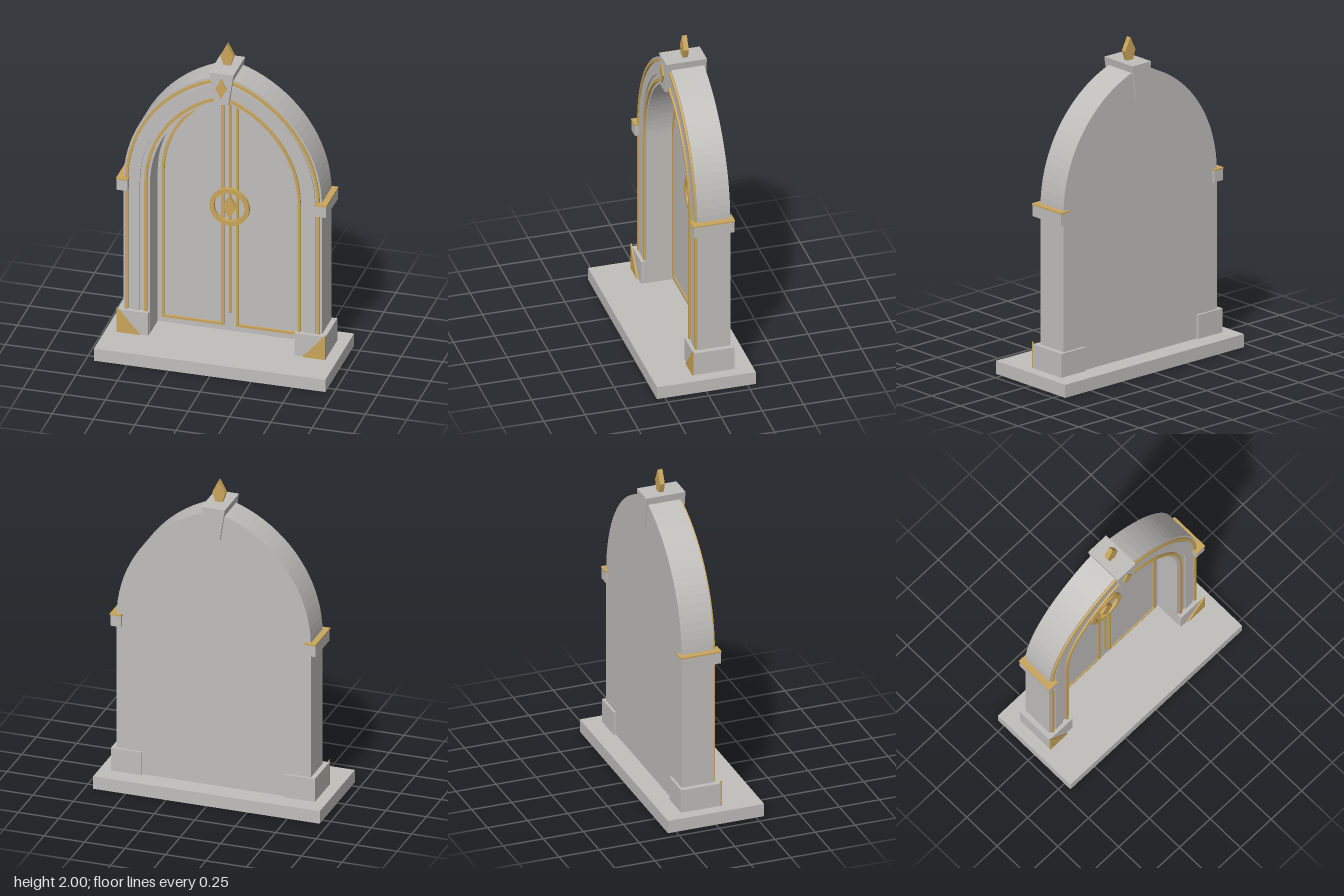
import * as THREE from 'three';

const SPRING = 1.07; // height where the straight jambs turn into the arch
const OFFSET = 0.19; // how far each arc's centre lies past the middle
const FLOOR = 0.08;  // top of the base slab

export function createModel() {
  const group = new THREE.Group();
  const stone = new THREE.MeshStandardMaterial({ color: 0xc0bebb });
  stone.name = 'stone grey';
  const gold = new THREE.MeshStandardMaterial({ color: 0xcaa55a });
  gold.name = 'gold';

  const add = (name, geometry, material) => {
    const mesh = new THREE.Mesh(geometry, material);
    mesh.name = name;
    group.add(mesh);
    return mesh;
  };
  const box = (name, x0, x1, y0, y1, z0, z1, material) =>
    add(name, new THREE.BoxGeometry(x1 - x0, y1 - y0, z1 - z0), material)
      .position.set((x0 + x1) / 2, (y0 + y1) / 2, (z0 + z1) / 2);
  const toShape = (pts) => new THREE.Shape(pts.map(([x, y]) => new THREE.Vector2(x, y)));
  const slab = (name, shape, z0, z1, material) => {
    const geometry = new THREE.ExtrudeGeometry(shape, { depth: z1 - z0, bevelEnabled: false, curveSegments: 32 });
    geometry.translate(0, 0, z0);
    return add(name, geometry, material);
  };

  // Right-hand half of a pointed arch: from the foot up to the line x = xEnd
  const halfArch = (w, y0, xEnd = 0) => {
    const r = w + OFFSET, end = Math.acos((xEnd + OFFSET) / r), n = 20;
    const pts = [[w, y0]];
    for (let i = 0; i <= n; i++) {
      const a = (end * i) / n;
      pts.push([r * Math.cos(a) - OFFSET, SPRING + r * Math.sin(a)]);
    }
    return pts;
  };
  const mirror = (pts) => pts.map(([x, y]) => [-x, y]).reverse();
  const fullArch = (w, y0) => {
    const half = halfArch(w, y0);
    return [...half, ...mirror(half).slice(1)];
  };
  const archBand = (name, outer, inner, z0, z1, material) =>
    slab(name, toShape([...fullArch(outer, FLOOR), ...fullArch(inner, FLOOR).reverse()]), z0, z1, material);
  // Outline of one door panel, for side +1 or -1
  const panel = (side, x0, x1, y0) => {
    const pts = [[x0, y0], ...halfArch(x1, y0, x0)];
    return side > 0 ? pts : mirror(pts);
  };

  // Base and arched frame with its mouldings
  box('base', -0.7, 0.7, 0, FLOOR, -0.3, 0.3, stone);
  archBand('archFrame', 0.6, 0.44, -0.135, 0.025, stone);
  archBand('archMoulding', 0.56, 0.5, 0.025, 0.034, stone);
  archBand('outerTrim', 0.588, 0.571, 0.025, 0.037, gold);
  archBand('innerTrim', 0.472, 0.455, 0.025, 0.037, gold);

  for (const side of [1, -1]) {
    const span = (a, b) => (side > 0 ? [a, b] : [-b, -a]);

    // Door leaf with raised panel and gold border
    slab('door', toShape(panel(side, 0, 0.6, FLOOR)), -0.175, -0.135, stone);
    const border = toShape(panel(side, 0.037, 0.415, 0.117));
    border.holes.push(toShape(panel(side, 0.053, 0.398, 0.131)));
    slab('doorTrim', border, -0.135, -0.123, gold);
    slab('doorPanel', toShape(panel(side, 0.062, 0.388, 0.138)), -0.135, -0.128, stone);

    // Impost block with gold cap
    box('impost', ...span(0.567, 0.633), 1.01, 1.08, -0.19, 0.056, stone);
    box('impostCap', ...span(0.565, 0.636), 1.08, 1.089, -0.194, 0.06, gold);

    // Plinth with curved gold corner plate
    box('plinth', ...span(0.442, 0.63), FLOOR, 0.226, -0.19, 0.056, stone);
    const corner = new THREE.Shape();
    corner.moveTo(side * 0.631, FLOOR);
    corner.lineTo(side * 0.631, 0.243);
    corner.quadraticCurveTo(side * 0.555, 0.148, side * 0.49, FLOOR);
    slab('cornerPlate', corner, 0.056, 0.065, gold);
  }

  // Rod over the meeting edge of the doors
  const rod = add('centreRod', new THREE.CylinderGeometry(0.008, 0.008, 1.4, 8), gold);
  rod.position.set(0, 0.9, -0.131);

  // Round handle with a diamond boss
  const ring = new THREE.Shape().absarc(0, 0.902, 0.12, 0, Math.PI * 2);
  ring.holes.push(new THREE.Path().absarc(0, 0.902, 0.092, 0, Math.PI * 2, true));
  slab('handleRing', ring, -0.135, -0.108, gold);
  const diamond = (y, w, h) => toShape([[0, y - h], [w, y], [0, y + h], [-w, y]]);
  slab('handleBoss', diamond(0.902, 0.045, 0.07), -0.135, -0.105, gold);

  // Keystone, its diamond and the finial
  slab('keystone', toShape([[-0.042, 1.66], [0.042, 1.66], [0.073, 1.862], [-0.073, 1.862]]), -0.19, 0.056, stone);
  slab('keystoneDiamond', diamond(1.767, 0.034, 0.064), 0.056, 0.065, gold);
  slab('finial', toShape([[-0.022, 1.862], [0.022, 1.862], [0.04, 1.92], [0, 2], [-0.04, 1.92]]), -0.09, -0.06, gold);

  return group;
}
